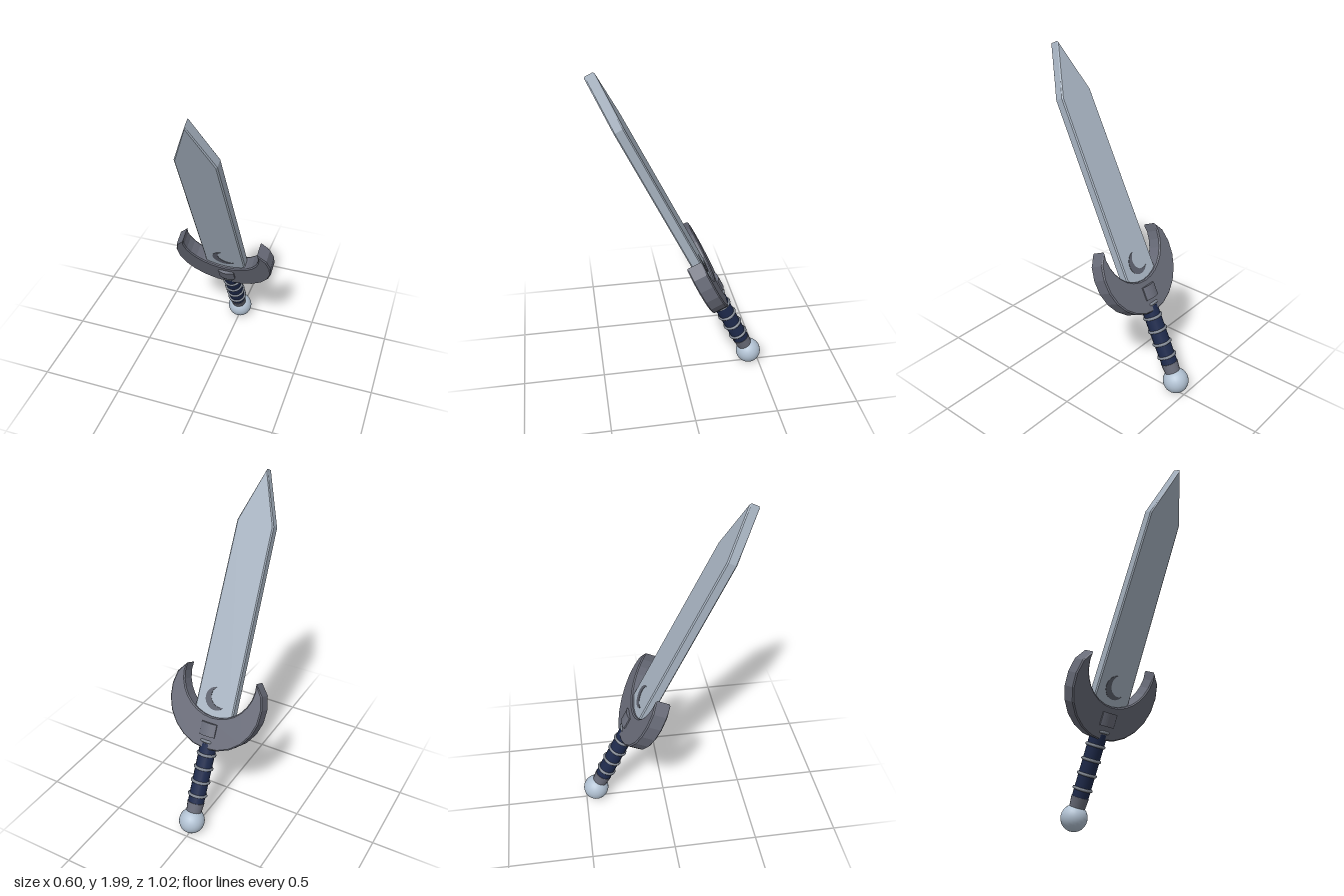
import * as THREE from 'three';

const mat = (name, color) => Object.assign(new THREE.MeshStandardMaterial({ color }), { name });

// Crescent opening toward angle `dir`: outer arc about the origin, inner arc shifted by d.
function crescent(R, A, r, d, B, dir, n) {
  const pts = [];
  const add = (rad, off, ang) => {
    const x = off + rad * Math.cos(ang), y = rad * Math.sin(ang);
    pts.push(new THREE.Vector2(
      x * Math.cos(dir) - y * Math.sin(dir),
      x * Math.sin(dir) + y * Math.cos(dir)));
  };
  const arc = (a, t) => a + (2 * Math.PI - 2 * a) * t;
  add(r, d, B);
  for (let i = 1; i < n; i++) add(R, 0, arc(A, i / n));
  for (let i = n; i > 0; i--) add(r, d, arc(B, i / n));
  return new THREE.Shape(pts);
}

// Slab of the given total thickness, centred on z = 0, with a small chamfer.
function slab(shape, thickness, bevel) {
  const geo = new THREE.ExtrudeGeometry(shape, {
    depth: thickness - 2 * bevel, bevelEnabled: bevel > 0, bevelThickness: bevel,
    bevelSize: bevel, bevelOffset: -bevel, bevelSegments: 1, curveSegments: 8,
  });
  return geo.translate(0, 0, -(thickness / 2 - bevel));
}

export function createModel() {
  const steel = mat('blade steel', 0xa9b5c3);
  const pale = mat('pommel steel', 0xb2c2d3);
  const iron = mat('guard iron', 0x6a6d7a);
  const dark = mat('emblem iron', 0x5d616d);
  const navy = mat('navy grip', 0x1f2b4d);
  const silver = mat('ring metal', 0x7f8691);

  // The sword is built upright about the pommel centre, then leaned forward.
  const sword = new THREE.Group();
  sword.name = 'sword';
  const add = (name, geo, material, y = 0, z = 0) => {
    const mesh = new THREE.Mesh(geo, material);
    mesh.name = name;
    mesh.position.set(0, y, z);
    sword.add(mesh);
    return mesh;
  };

  // Blade
  const bladeShape = new THREE.Shape([
    [-0.127, 0.6], [0.127, 0.6], [0.115, 1.81], [0, 2.115], [-0.115, 1.81],
  ].map(([x, y]) => new THREE.Vector2(x, y)));
  add('blade', slab(bladeShape, 0.061, 0.007), steel);

  // Crescent guard
  const guardShape = crescent(0.3, 0.94, 0.2326, 0.133, 1.424, Math.PI / 2, 16);
  add('guard', slab(guardShape, 0.094, 0.007), iron, 0.765);

  // Block through the guard, with bulged front and back faces
  const block = new THREE.Shape();
  block.moveTo(-0.05, -0.055);
  block.quadraticCurveTo(0, -0.079, 0.05, -0.055);
  block.lineTo(0.05, 0.055);
  block.quadraticCurveTo(0, 0.079, -0.05, 0.055);
  add('guardBlock', slab(block, 0.08, 0).rotateX(Math.PI / 2), iron, 0.589);

  // Moon emblem on both faces of the blade
  const moon = slab(crescent(0.07, 1.143, 0.0639, 0.0339, 1.649, 0.567, 16), 0.006, 0);
  add('frontEmblem', moon, dark, 0.775, 0.03);
  add('backEmblem', moon, dark, 0.775, -0.03).rotation.y = Math.PI;

  // Grip with raised rings
  add('grip', new THREE.CylinderGeometry(0.051, 0.049, 0.4, 16), navy, 0.3);
  for (let i = 0; i < 5; i++) {
    const ring = new THREE.TorusGeometry(0.051, 0.009, 8, 24).rotateX(Math.PI / 2);
    add('gripRing', ring, silver, 0.17 + i * 0.086);
  }

  // Collar and pommel
  add('collar', new THREE.CylinderGeometry(0.052, 0.046, 0.065, 16), iron, 0.09);
  add('pommel', new THREE.SphereGeometry(0.078, 24, 16), pale);

  sword.rotation.x = 0.4477;
  sword.position.set(0, 0.078, -0.435);
  const model = new THREE.Group();
  model.name = 'leaningSword';
  model.add(sword);
  return model;
}
